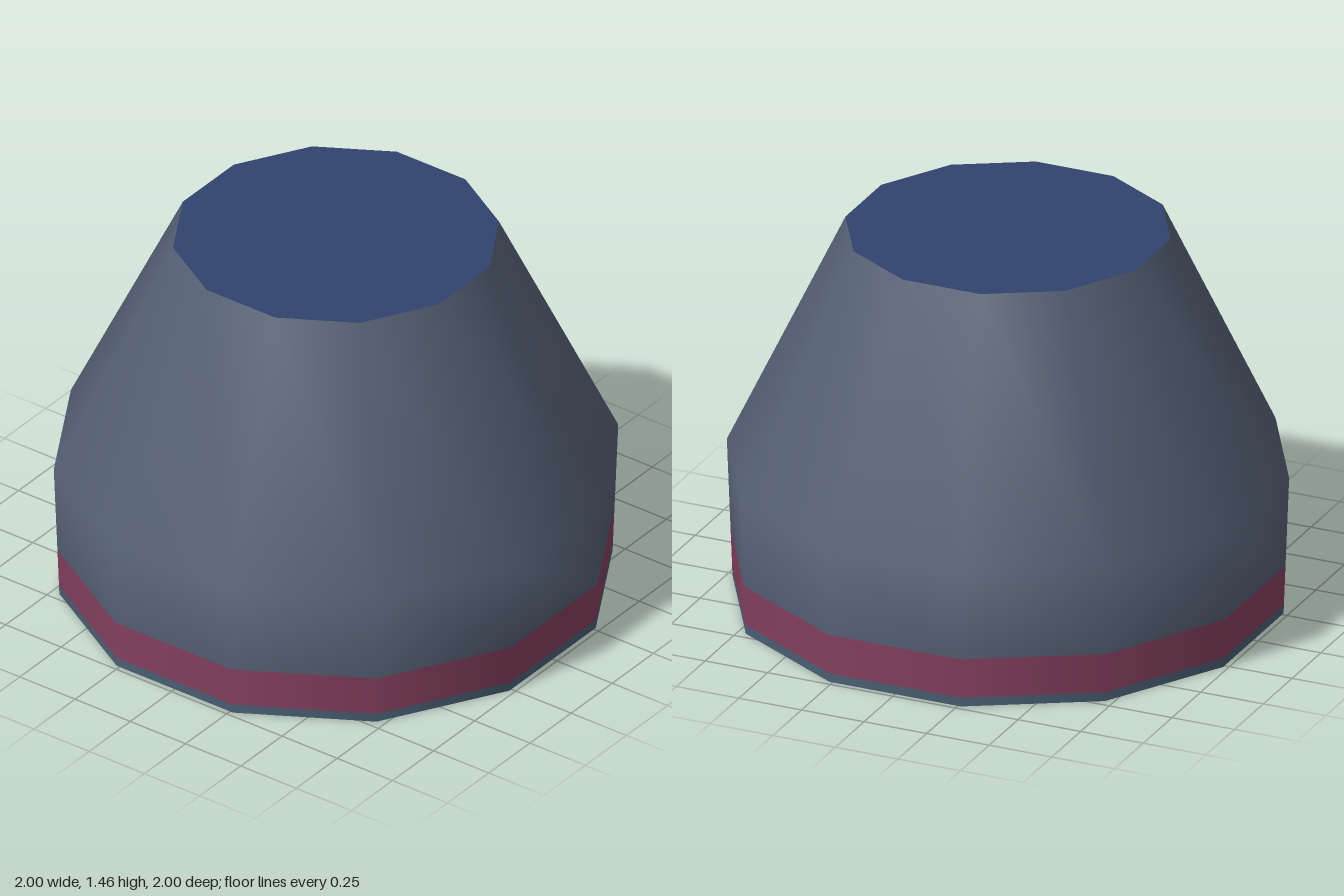
import * as THREE from 'three';

const SIDES = 12;
const START = Math.PI / SIDES; // flat sides face the axes
const CORNER = 1 / Math.cos(Math.PI / SIDES); // flat distance to corner radius
const HEIGHT = 1.456;
const BASE_R = 0.98, SHOULDER_R = 1, TOP_R = 0.578, SHOULDER_Y = 0.54;

function paint(name, color) {
  const material = new THREE.MeshStandardMaterial({ color });
  material.name = name;
  return material;
}

// Radius of the lower wall at a given height
const wall = (y) => [BASE_R + (SHOULDER_R - BASE_R) * y / SHOULDER_Y, y];

export function createModel() {
  const group = new THREE.Group();
  const slate = paint('slate grey', 0x556074);
  const steel = paint('steel blue grey', 0x4b6075);
  const plum = paint('plum red', 0x86405f);
  const navy = paint('navy blue', 0x30446f);

  const add = (name, geometry, material) => {
    const mesh = new THREE.Mesh(geometry, material);
    mesh.name = name;
    group.add(mesh);
    return mesh;
  };

  // Twelve-sided smooth-shaded ring from a [radius, height] profile
  const ring = (name, profile, material) => add(name, new THREE.LatheGeometry(
    profile.map(([r, y]) => new THREE.Vector2(r * CORNER, y)),
    SIDES, START), material);

  // Flat twelve-sided cap
  const cap = (name, radius, y, up) => {
    const mesh = add(name, new THREE.CircleGeometry(radius * CORNER, SIDES, START), navy);
    mesh.rotation.x = up ? -Math.PI / 2 : Math.PI / 2;
    mesh.position.y = y;
  };

  // Walls, bottom to top
  ring('baseRim', [wall(0), wall(0.035)], steel);
  ring('stripe', [wall(0.035), wall(0.19)], plum);
  ring('body', [wall(0.19), [SHOULDER_R, SHOULDER_Y], [TOP_R, HEIGHT]], slate);

  // End faces
  cap('topCap', TOP_R, HEIGHT, true);
  cap('bottomCap', BASE_R, 0, false);

  return group;
}
